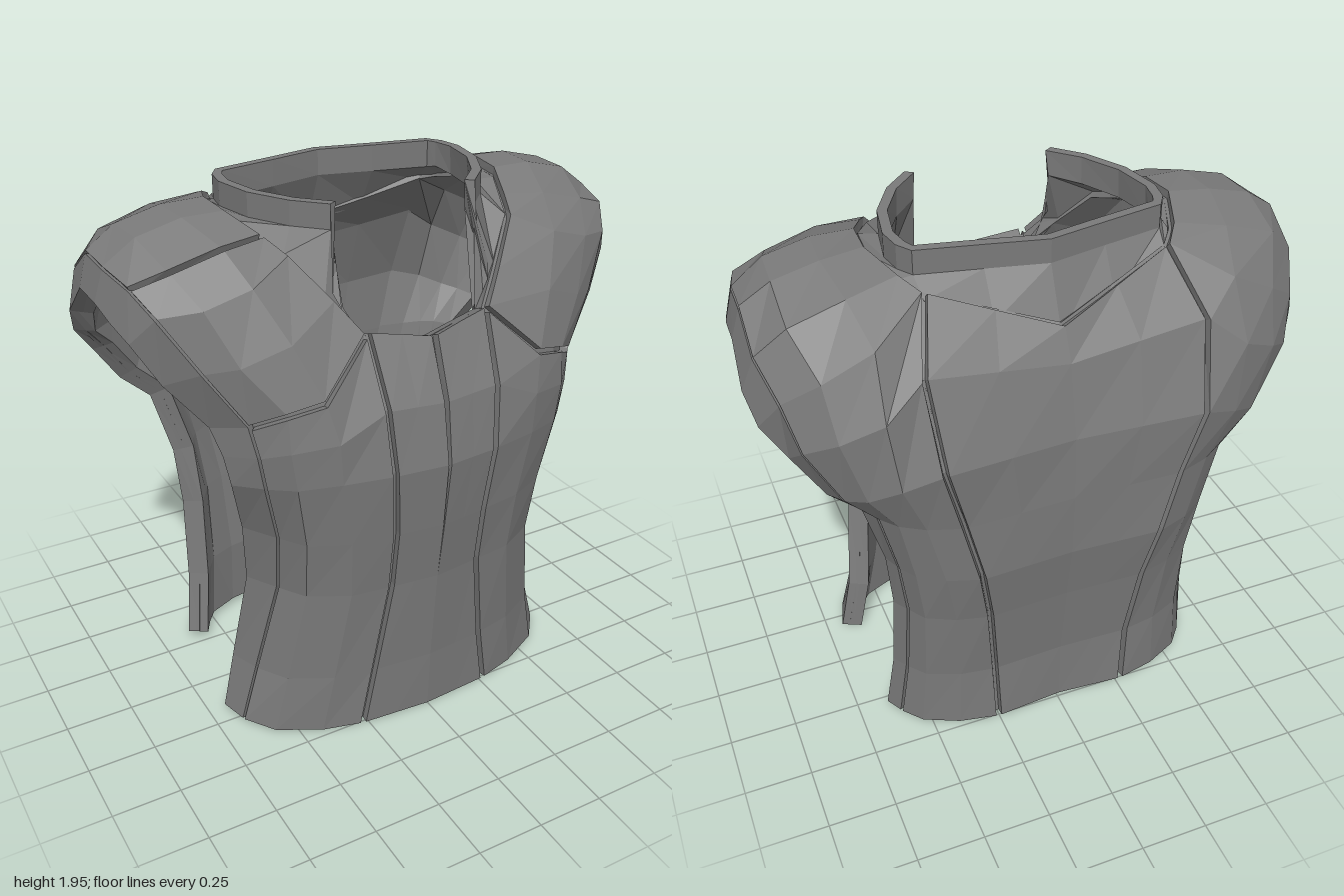
import * as THREE from 'three';

const material = new THREE.MeshStandardMaterial({ color: 0x7a7a7a, flatShading: true });
const V = (p) => new THREE.Vector3(...p);
const PLATE = 0.045; // plate thickness
const GAP = 0.011; // half width of a seam

// Half-strip cross-sections (x > 0): front hem, up over the shoulder, down to the back hem.
// Columns run from the princess seam / neck edge out to the armhole edge.
const frontRows = [
  [[.27, .01, .51], [.42, .01, .47], [.58, .02, .395], [.66, .03, .295], [.69, .03, .18]],
  [[.23, .25, .52], [.38, .25, .49], [.53, .25, .41], [.6, .25, .3], [.645, .25, .18]],
  [[.18, .62, .55], [.33, .62, .53], [.47, .62, .455], [.53, .62, .36], [.6, .62, .24]],
  [[.18, .85, .58], [.34, .85, .555], [.48, .85, .49], [.54, .85, .4], [.62, .85, .27]],
  [[.2, 1.1, .605], [.38, 1.1, .57], [.52, 1.09, .515], [.595, 1.08, .44], [.68, 1.07, .34]],
  [[.215, 1.33, .575], [.39, 1.25, .57], [.54, 1.23, .515], [.615, 1.2, .44], [.7, 1.18, .33]],
  [[.23, 1.57, .465], [.42, 1.39, .535], [.54, 1.36, .5], [.635, 1.31, .42], [.73, 1.28, .3]],
];
const shoulderRows = [
  [[.31, 1.68, .4], [.5, 1.58, .46], [.66, 1.52, .42], [.76, 1.5, .36], [.86, 1.44, .25]],
  [[.42, 1.82, .3], [.58, 1.75, .36], [.74, 1.7, .34], [.87, 1.68, .28], [.94, 1.58, .2]],
  [[.46, 1.86, .2], [.62, 1.85, .23], [.8, 1.8, .22], [.92, 1.76, .19], [.97, 1.63, .13]],
  [[.52, 1.91, .05], [.68, 1.91, .05], [.84, 1.87, .05], [.95, 1.79, .04], [.985, 1.67, .03]],
  [[.53, 1.92, -.1], [.69, 1.91, -.12], [.85, 1.87, -.12], [.955, 1.8, -.11], [.99, 1.68, -.1]],
  [[.47, 1.89, -.26], [.66, 1.86, -.3], [.85, 1.8, -.3], [.955, 1.7, -.26], [1, 1.56, -.22]],
];
const backRows = [
  [[.42, 1.86, -.33], [.62, 1.75, -.45], [.79, 1.66, -.43], [.91, 1.58, -.37], [.975, 1.46, -.29]],
  [[.49, 1.66, -.52], [.63, 1.55, -.56], [.77, 1.48, -.51], [.87, 1.42, -.43], [.9, 1.35, -.34]],
  [[.465, 1.35, -.62], [.6, 1.3, -.585], [.7, 1.25, -.53], [.76, 1.22, -.46], [.8, 1.2, -.38]],
  [[.4, 1.1, -.6], [.52, 1.1, -.56], [.6, 1.1, -.51], [.65, 1.1, -.45], [.69, 1.1, -.38]],
  [[.34, .85, -.6], [.46, .85, -.56], [.55, .85, -.5], [.59, .85, -.44], [.62, .85, -.37]],
  [[.3, .62, -.56], [.42, .62, -.53], [.52, .62, -.48], [.56, .62, -.42], [.6, .62, -.36]],
  [[.27, .3, -.52], [.4, .3, -.5], [.52, .3, -.45], [.57, .3, -.39], [.61, .3, -.33]],
  [[.26, .04, -.53], [.41, .04, -.5], [.54, .04, -.44], [.6, .04, -.37], [.64, .04, -.3]],
];
// Centre line of the front and back as [y, z]
const frontLine = [[.01, .53], [.25, .54], [.62, .57], [.85, .6], [1.1, .625], [1.32, .59], [1.53, .505]];
const backLine = [[1.72, -.46], [1.6, -.52], [1.34, -.58], [1.1, -.59], [.85, -.585], [.62, -.55], [.3, -.51], [.04, -.51]];
// Collar from the front neckline round to the middle of the back: lower edge, then upper path
const collarBase = [[.22, 1.53, .41], [.33, 1.67, .36], [.43, 1.81, .27], [.515, 1.88, .07], [.53, 1.89, -.1],
  [.47, 1.86, -.24], [.42, 1.82, -.33], [.21, 1.73, -.39], [0, 1.66, -.44]];
const collarPath = [[.275, .3], [.37, .2], [.45, .05], [.48, -.11], [.465, -.2], [.43, -.255], [.21, -.3], [0, -.345]];

const toGrid = (rows) => rows.map((row) => row.map(V));
const mirror = (grid) => grid.map((row) => row.map((p) => new THREE.Vector3(-p.x, p.y, p.z)).reverse());
const columns = (grid, from, to) => grid.map((row) => row.slice(from, to));

// Columns between the centre line and the seam
const centreGrid = (line, rows) => rows.map((row, i) => {
  const c = V([0, ...line[i]]);
  const seam = V(row[0]);
  return [c, c.clone().lerp(seam, 0.5), seam];
});
const fullWidth = (half) => mirror(half).map((row, i) => row.concat(half[i].slice(1)));

// Move a grid inward along its averaged normals
function inward(grid, depth) {
  const R = grid.length - 1, C = grid[0].length - 1;
  return grid.map((row, i) => row.map((p, j) => {
    const du = grid[Math.min(i + 1, R)][j].clone().sub(grid[Math.max(i - 1, 0)][j]);
    const dv = row[Math.min(j + 1, C)].clone().sub(row[Math.max(j - 1, 0)]);
    return p.clone().addScaledVector(dv.cross(du).normalize(), -depth);
  }));
}

// Pull chosen borders of a grid in to leave a seam
function inset(grid, { first, last, inner, outer }) {
  const g = grid.map((row) => row.map((p) => p.clone()));
  const R = g.length - 1, C = g[0].length - 1;
  const pull = (p, q) => p.addScaledVector(q.clone().sub(p).normalize(), GAP);
  for (let j = 0; j <= C; j++) {
    if (first) pull(g[0][j], grid[1][j]);
    if (last) pull(g[R][j], grid[R - 1][j]);
  }
  for (let i = 0; i <= R; i++) {
    if (inner) pull(g[i][0], grid[i][1]);
    if (outer) pull(g[i][C], grid[i][C - 1]);
  }
  return g;
}

// Closed thick plate from a grid of outer points
function shell(name, grid, thickness = PLATE) {
  const back = inward(grid, thickness);
  const R = grid.length - 1, C = grid[0].length - 1;
  const pos = [];
  const quad = (a, b, c, d) => [a, b, c, a, c, d].forEach((p) => pos.push(p.x, p.y, p.z));
  for (let i = 0; i < R; i++) {
    for (let j = 0; j < C; j++) {
      quad(grid[i][j], grid[i][j + 1], grid[i + 1][j + 1], grid[i + 1][j]);
      quad(back[i][j], back[i + 1][j], back[i + 1][j + 1], back[i][j + 1]);
    }
    quad(grid[i][0], grid[i + 1][0], back[i + 1][0], back[i][0]);
    quad(grid[i + 1][C], grid[i][C], back[i][C], back[i + 1][C]);
  }
  for (let j = 0; j < C; j++) {
    quad(grid[0][j + 1], grid[0][j], back[0][j], back[0][j + 1]);
    quad(grid[R][j], grid[R][j + 1], back[R][j + 1], back[R][j]);
  }
  const geometry = new THREE.BufferGeometry();
  geometry.setAttribute('position', new THREE.Float32BufferAttribute(pos, 3));
  geometry.computeVertexNormals();
  const mesh = new THREE.Mesh(geometry, material);
  mesh.name = name;
  return mesh;
}

export function createModel() {
  const vest = new THREE.Group();
  vest.name = 'armourVest';
  const side = toGrid([...frontRows, ...shoulderRows, ...backRows]);
  const front = centreGrid(frontLine, frontRows);
  const back = centreGrid(backLine, backRows);
  const lining = (name, grid) => vest.add(shell(name, inward(grid, PLATE - 0.015), 0.05));

  // Continuous lining behind the plates
  lining('frontLining', fullWidth(front));
  lining('backLining', fullWidth(back));
  lining('leftLining', side);
  lining('rightLining', mirror(side));

  // Front centre halves with a slit that narrows downward
  const frontHalf = inset(front, { outer: true });
  frontHalf.forEach((row) => { row[0].x = Math.max(0, row[0].y - 0.73) * 0.015; });
  vest.add(shell('leftFrontPlate', frontHalf), shell('rightFrontPlate', mirror(frontHalf)));

  // Back centre plate
  vest.add(shell('backPlate', fullWidth(inset(back, { outer: true, first: true }))));

  // Armhole bands running from hem to hem over the shoulders
  const band = inset(columns(side, 3, 5), { inner: true });
  vest.add(shell('leftArmholeBand', band), shell('rightArmholeBand', mirror(band)));

  // Chest side plates below the slanted seam
  const plates = columns(side, 0, 4);
  const cut = (from, to, ends) => inset(plates.slice(from, to), { inner: true, ...ends });
  const chest = cut(0, 7, { last: true });
  vest.add(shell('leftChestPlate', chest), shell('rightChestPlate', mirror(chest)));

  // Shoulder plates running down the back; the right one is split across the top
  vest.add(shell('leftShoulderPlate', cut(6, 21, { first: true })));
  vest.add(shell('rightShoulderFrontPlate', mirror(cut(6, 10, { first: true, last: true }))));
  vest.add(shell('rightShoulderBackPlate', mirror(cut(9, 21, { first: true }))));

  // Standing collar, open at the front, with a pointed back yoke and low front tips
  const ring = (y, tip) => [tip, ...collarPath.map(([x, z]) => [x, y, z])];
  const halfCollar = toGrid([collarBase, ring(1.875, [.265, 1.63, .36]), ring(1.96, [.275, 1.68, .34])]);
  const collar = mirror(halfCollar).map((row, i) => halfCollar[i].concat(row.slice(1)));
  vest.add(shell('collar', collar, 0.035));

  return vest;
}
